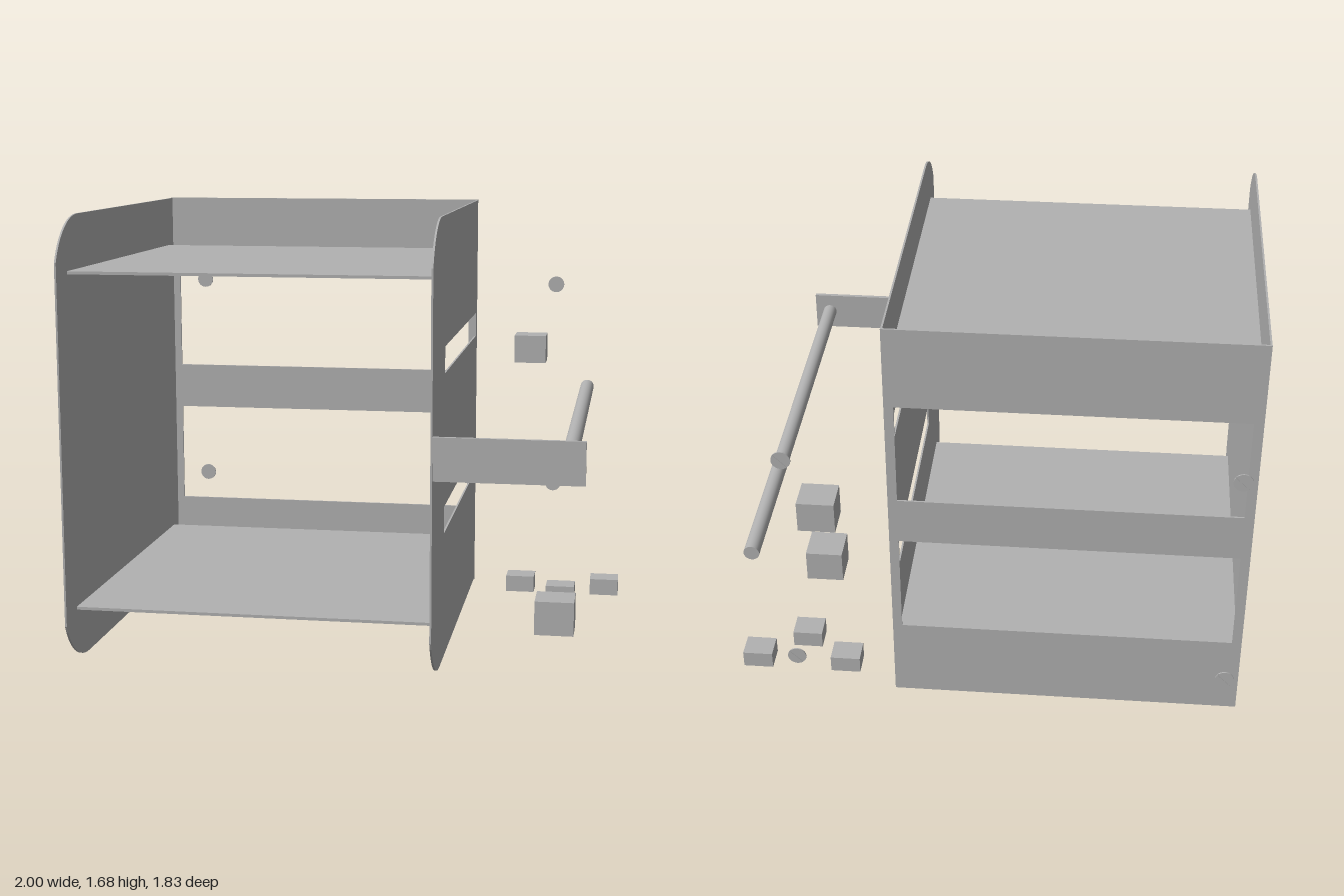
import * as THREE from 'three';

const grey = new THREE.MeshStandardMaterial({ color: 0xb2b2b2 });
grey.name = 'light grey';

function add(parent, name, geometry, x = 0, y = 0, z = 0) {
  const mesh = new THREE.Mesh(geometry, grey);
  mesh.name = name;
  mesh.position.set(x, y, z);
  parent.add(mesh);
  return mesh;
}

// Box given by its minimum and maximum corners
function block(parent, name, [x0, y0, z0], [x1, y1, z1]) {
  return add(parent, name, new THREE.BoxGeometry(x1 - x0, y1 - y0, z1 - z0),
    (x0 + x1) / 2, (y0 + y1) / 2, (z0 + z1) / 2);
}

function rectangle(x0, y0, x1, y1) {
  return new THREE.Shape([[x0, y0], [x1, y0], [x1, y1], [x0, y1]].map(p => new THREE.Vector2(...p)));
}

function extrude(shape, depth, curveSegments = 8) {
  return new THREE.ExtrudeGeometry(shape, { depth, bevelEnabled: false, curveSegments });
}

// Side wall drawn in (z, y), rounded at its two front corners
function sideWall(parent, name, outerX, slots) {
  const r = 0.272, back = -0.632, bottom = 0.008, top = 1.676, cz = 0.665, cut = 0.41;
  const shape = new THREE.Shape();
  shape.moveTo(back, bottom);
  shape.lineTo(cz, bottom);
  shape.absarc(cz, bottom + r, r, -Math.PI / 2, -cut, false);
  shape.absarc(cz, top - r, r, cut, Math.PI / 2, false);
  shape.lineTo(back, top);
  shape.closePath();
  shape.holes.push(...slots);
  const wall = add(parent, name, extrude(shape, 0.007, 6), outerX);
  wall.rotation.y = -Math.PI / 2;
}

// Thin round screw head with a diagonal slot
function screw(parent, x, y) {
  const head = new THREE.Group();
  head.name = 'screw';
  head.position.set(x, y, -0.911);
  const disc = add(head, 'screwDisc', new THREE.CylinderGeometry(0.035, 0.035, 0.003, 24));
  disc.rotation.x = Math.PI / 2;
  for (const side of [0, Math.PI]) {
    const half = new THREE.Shape();
    half.absarc(0, 0, 0.035, 0.13, Math.PI - 0.13, false);
    half.closePath();
    const plate = add(head, 'screwHalf', extrude(half, 0.002, 12), 0, 0, -0.0035);
    plate.rotation.z = side + Math.PI / 4;
  }
  parent.add(head);
}

export function createModel() {
  const model = new THREE.Group();
  model.name = 'openCabinetWithLooseParts';

  // Cabinet walls: only the left one has slots
  sideWall(model, 'rightWall', -0.993, []);
  sideWall(model, 'leftWall', 0.36, [
    rectangle(-0.59, 1.095, 0.545, 1.195),
    rectangle(-0.59, 0.49, 0.545, 0.592),
  ]);

  // Back panel with two windows
  const back = rectangle(-1, 0, 0.36, 1.678);
  back.holes.push(rectangle(-0.963, 0.936, 0.324, 1.353), rectangle(-0.963, 0.331, 0.324, 0.747));
  add(model, 'backPanel', extrude(back, 0.007), 0, 0, -0.636);

  // Shelves
  for (const y of [0.205, 1.463]) {
    block(model, 'shelf', [-0.993, y, -0.556], [0.353, y + 0.011, 0.798]);
  }

  // Arm and the rod it carries
  block(model, 'arm', [0.355, 0.763, 0.892], [0.895, 0.921, 0.908]);
  const rod = add(model, 'rod', new THREE.CylinderGeometry(0.029, 0.029, 1.77, 32), 0.833, 0.843, 0.01);
  rod.rotation.x = Math.PI / 2;

  // Loose blocks
  block(model, 'raisedBlock', [0.516, 0.96, -0.877], [0.653, 1.08, -0.75]);
  for (const [x, z] of [[0.516, -0.557], [0.876, -0.557], [0.695, -0.416]]) {
    block(model, 'smallBlock', [x, 0, z], [x + 0.119, 0.068, z + 0.1]);
  }

  // Large block with a round socket in its underside
  const socket = rectangle(-0.078, -0.078, 0.078, 0.078);
  socket.holes.push(new THREE.Path().absarc(0, 0, 0.034, 0, Math.PI * 2, true));
  const body = add(model, 'socketBlock', extrude(socket, 0.11, 24), 0.757, 0, 0.099);
  body.rotation.x = -Math.PI / 2;
  block(model, 'socketBlockTop', [0.679, 0.11, 0.021], [0.835, 0.137, 0.177]);

  // Screws floating behind the cabinet
  for (const x of [-0.922, 0.686]) for (const y of [0.39, 1.293]) screw(model, x, y);

  return model;
}
